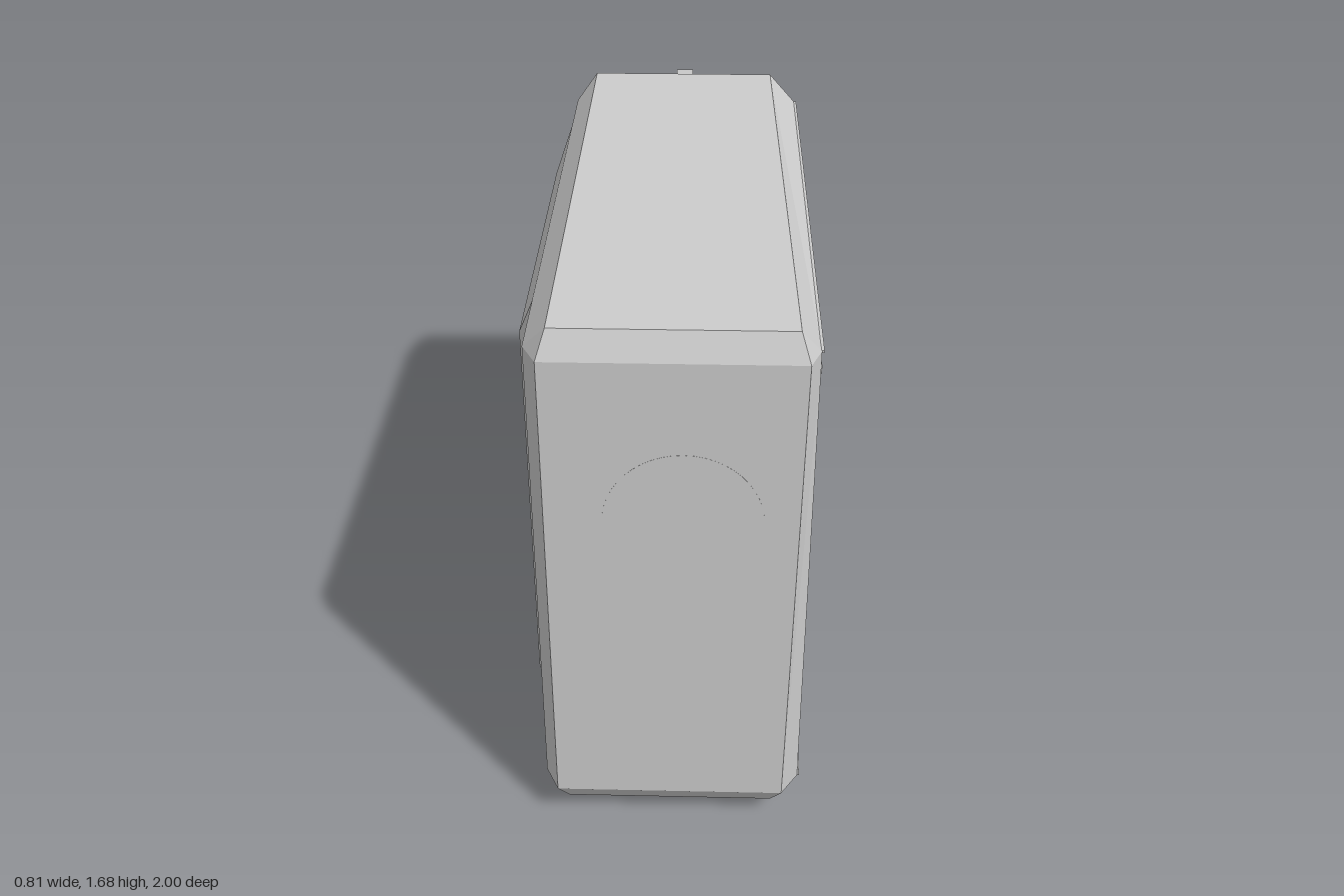
import * as THREE from 'three';

const shell = new THREE.MeshStandardMaterial({ color: 0xcccccc });
shell.name = 'shell grey';
const dark = new THREE.MeshStandardMaterial({ color: 0x777777 });
dark.name = 'port grey';

// Faceted solid through rings of [x, y, z] points, closed by a cap at the end (and optionally the start)
function loft(rings, capStart) {
  const n = rings[0].length, pos = [];
  const quad = (a, b, c, d) => pos.push(...a, ...b, ...c, ...a, ...c, ...d);
  for (let r = 0; r < rings.length - 1; r++) {
    for (let i = 0; i < n; i++) {
      const j = (i + 1) % n;
      quad(rings[r][i], rings[r][j], rings[r + 1][j], rings[r + 1][i]);
    }
  }
  const last = rings[rings.length - 1], first = rings[0];
  for (let k = 0; k < n / 2 - 1; k++) {
    quad(last[k], last[k + 1], last[n - 2 - k], last[n - 1 - k]);
    if (capStart) quad(first[n - 1 - k], first[n - 2 - k], first[k + 1], first[k]);
  }
  const g = new THREE.BufferGeometry();
  g.setAttribute('position', new THREE.Float32BufferAttribute(pos, 3));
  g.computeVertexNormals();
  return g;
}

// Rounded rectangle outline
function roundRect(target, x0, y0, x1, y1, r) {
  target.moveTo(x0 + r, y0);
  target.lineTo(x1 - r, y0);
  target.quadraticCurveTo(x1, y0, x1, y0 + r);
  target.lineTo(x1, y1 - r);
  target.quadraticCurveTo(x1, y1, x1 - r, y1);
  target.lineTo(x0 + r, y1);
  target.quadraticCurveTo(x0, y1, x0, y1 - r);
  target.lineTo(x0, y0 + r);
  target.quadraticCurveTo(x0, y0, x0 + r, y0);
  return target;
}

export function createModel() {
  const model = new THREE.Group();
  model.name = 'computerTower';
  const add = (name, geometry, x = 0, y = 0, z = 0, material = shell, parent = model) => {
    const mesh = new THREE.Mesh(geometry, material);
    mesh.name = name;
    mesh.position.set(x, y, z);
    parent.add(mesh);
    return mesh;
  };
  const box = (w, h, d) => new THREE.BoxGeometry(w, h, d);

  // Main case with chamfered corners
  const R = 0.395;
  add('case', loft([
    [[0.315, 0.065, 0.965], [0.315, 0.065, 0.965], [0.315, 0.065, -0.82], [0.315, 0.08, -0.965],
      [-0.295, 0.08, -0.965], [-0.29, 0.065, -0.82], [-0.29, 0.065, 0.965], [-0.29, 0.065, 0.965]],
    [[0.345, 0.125, 1], [R, 0.125, 0.925], [R, 0.125, -0.83], [0.315, 0.08, -0.965],
      [-0.295, 0.08, -0.965], [-0.36, 0.125, -0.83], [-0.36, 0.125, 0.92], [-0.32, 0.125, 1]],
    [[0.365, 1.595, 1], [R, 1.595, 0.925], [R, 1.595, -0.83], [0.315, 1.63, -0.965],
      [-0.295, 1.63, -0.965], [-0.36, 1.595, -0.83], [-0.36, 1.595, 0.92], [-0.32, 1.595, 1]],
    [[0.34, 1.672, 0.965], [0.34, 1.672, 0.965], [0.31, 1.672, -0.89], [0.31, 1.672, -0.89],
      [-0.295, 1.672, -0.89], [-0.295, 1.672, -0.89], [-0.295, 1.672, 0.965], [-0.295, 1.672, 0.965]],
  ], true));

  // Raised panel on the -x side
  const panelRing = (x, z0, z1, y0, y1) => [[x, y0, z0], [x, y0, z1], [x, y1, z1], [x, y1, z0]];
  add('raisedSidePanel', loft([
    panelRing(-0.36, -0.59, 0.68, 0.125, 1.595),
    panelRing(-0.41, -0.5, 0.6, 0.26, 1.46),
  ], false));

  // Lips framing the flat side panel, and its screws
  add('lowerPanelLip', box(0.01, 0.025, 1.755), 0.396, 0.1375, 0.0475);
  add('upperPanelLip', box(0.01, 0.008, 1.755), 0.396, 1.593, 0.0475);
  add('rearPanelLip', box(0.01, 1.445, 0.008), 0.394, 0.865, -0.826);
  for (const z of [0.87, -0.755]) {
    for (const [y, out] of [[1.515, 0.006], [0.23, 0.003]]) {
      const r = y > 1 ? 0.015 : 0.007;
      const screw = add('panelScrew', new THREE.CylinderGeometry(r, r, out * 2, 20), R, y, z);
      screw.rotation.z = Math.PI / 2;
    }
  }

  // Shallow disc on the front face
  add('frontDisc', new THREE.CylinderGeometry(0.215, 0.215, 0.004, 48), 0.05, 1.11, 0.9985)
    .rotation.x = Math.PI / 2;

  // Door frame with a recessed centre
  const frame = roundRect(new THREE.Shape(), -0.29, 0.15, 0.312, 1.62, 0.012);
  frame.holes.push(roundRect(new THREE.Path(), -0.24, 0.2, 0.262, 1.57, 0.025));
  add('doorFrame', new THREE.ExtrudeGeometry(frame, { depth: 0.026, bevelEnabled: false }), 0, 0, -1);
  add('doorCentre', box(0.54, 1.42, 0.02), 0.011, 0.885, -0.98);
  add('doorBacking', box(0.58, 1.45, 0.012), 0.011, 0.885, -0.969);

  // Vent strips on the chamfers beside the door
  for (const [x, dx] of [[0.358, -0.08], [-0.331, 0.065]]) {
    const vent = add('ventStrip', box(0.012, 1.42, 0.034), x, 0.86, -0.89);
    vent.rotation.y = Math.atan2(-dx, 0.135);
  }

  // Sloping control strip above the door
  const controls = new THREE.Group();
  controls.name = 'controlStrip';
  controls.position.set(0, 1.651, -0.9275);
  controls.rotation.x = -Math.atan2(0.042, 0.075);
  model.add(controls);
  add('powerButton', box(0.055, 0.03, 0.05), 0.012, 0.004, -0.005, shell, controls);
  for (const x of [-0.24, -0.16]) {
    add('port', box(0.065, 0.006, 0.028), x, 0, -0.008, dark, controls);
  }
  for (const x of [0.21, 0.265]) {
    add('smallButton', box(0.028, 0.01, 0.028), x, 0, -0.008, shell, controls);
  }

  // Tapered feet
  for (const x of [-0.247, 0.265]) {
    for (const z of [0.87, -0.79]) {
      add('foot', new THREE.CylinderGeometry(0.03, 0.021, 0.07, 20), x, 0.035, z);
    }
  }
  return model;
}
